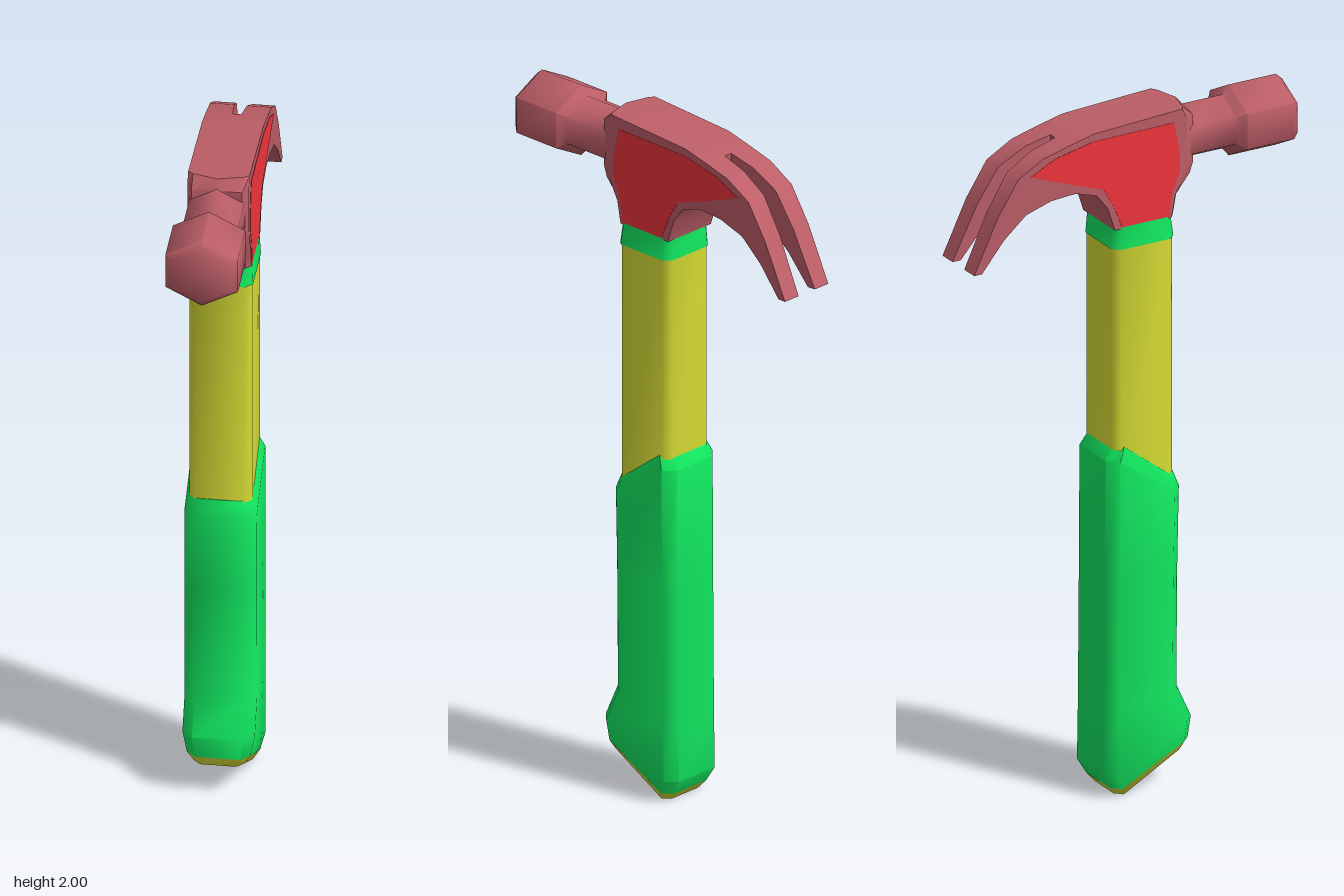
import * as THREE from 'three';
import { toCreasedNormals } from 'three/addons/utils/BufferGeometryUtils.js';

const steel = new THREE.MeshStandardMaterial({ color: 0xbc5e67 });
const red = new THREE.MeshStandardMaterial({ color: 0xf0343c });
const yellow = new THREE.MeshStandardMaterial({ color: 0xd6dc34 });
const green = new THREE.MeshStandardMaterial({ color: 0x12e860 });

function part(name, geometry, material, crease) {
  const mesh = new THREE.Mesh(toCreasedNormals(geometry, crease), material);
  mesh.name = name;
  return mesh;
}

// Side outline of [z, y] points, extruded across x; place(layer, p) sets each vertex.
function sideExtrude(outline, steps, place) {
  const shape = new THREE.Shape(outline.map(([z, y]) => new THREE.Vector2(z, y)));
  const geo = new THREE.ExtrudeGeometry(shape, { depth: 1, steps, bevelEnabled: false });
  geo.rotateY(-Math.PI / 2);
  const pos = geo.attributes.position;
  const p = new THREE.Vector3();
  for (let i = 0; i < pos.count; i++) {
    p.fromBufferAttribute(pos, i);
    place(Math.round(-p.x * steps), p);
    pos.setXYZ(i, p.x, p.y, p.z);
  }
  return geo;
}

// Loft of chamfered rectangles; ring = [frontZ, frontY, backZ, backY, halfWidth, chamfer].
function loft(rings) {
  const verts = [], index = [], n = 8, last = rings.length - 1;
  for (const [zf, yf, zb, yb, w, c] of rings) {
    const corners = [[w - c, zf], [w, zf - c], [w, zb + c], [w - c, zb],
      [c - w, zb], [-w, zb + c], [-w, zf - c], [c - w, zf]];
    for (const [x, z] of corners) {
      const t = THREE.MathUtils.clamp((zf - z - c) / (zf - zb - 2 * c), 0, 1);
      verts.push(x, yf + (yb - yf) * t, z);
    }
  }
  for (let r = 0; r < last; r++) {
    for (let i = 0; i < n; i++) {
      const a = r * n + i, b = r * n + (i + 1) % n;
      index.push(a, b, b + n, a, b + n, a + n);
    }
  }
  for (let i = 1; i < n - 1; i++) {
    index.push(0, i + 1, i);
    index.push(last * n, last * n + i, last * n + i + 1);
  }
  const geo = new THREE.BufferGeometry();
  geo.setAttribute('position', new THREE.Float32BufferAttribute(verts, 3));
  geo.setIndex(index);
  return geo;
}

export function createModel() {
  const group = new THREE.Group();

  // Handle: end cap, grip with sloped top, shaft and collar
  const capTop = [0.177, 0.125, -0.07, 0.025, 0.088, 0.025];
  group.add(part('endCap', loft([[0.165, 0.095, -0.05, 0, 0.07, 0.02], capTop]), yellow, 0.9));
  group.add(part('grip', loft([
    capTop,
    [0.183, 0.19, -0.096, 0.07, 0.1, 0.03],
    [0.137, 0.29, -0.093, 0.25, 0.1, 0.03],
    [0.14, 0.65, -0.09, 0.65, 0.1, 0.03],
    [0.145, 0.88, -0.088, 1.0, 0.1, 0.03],
    [0.127, 0.93, -0.064, 1.038, 0.088, 0.025],
  ]), green, 0.9));
  group.add(part('shaft', loft([
    [0.125, 0.9, -0.068, 0.9, 0.087, 0.02],
    [0.125, 1.64, -0.068, 1.64, 0.087, 0.02],
  ]), yellow, 0.9));
  group.add(part('collar', loft([
    [0.128, 1.625, -0.07, 1.625, 0.089, 0.02],
    [0.12, 1.69, -0.066, 1.69, 0.086, 0.02],
  ]), green, 0.9));

  // Head block, with its front edges cut back at the cheeks
  const bodyOutline = [
    [0.175, 2], [-0.135, 1.985], [-0.215, 1.966], [-0.215, 1.819], [-0.19, 1.82],
    [-0.125, 1.8], [-0.09, 1.755], [-0.067, 1.685], [0.125, 1.685],
    [0.137, 1.75], [0.18, 1.8], [0.19, 1.83], [0.19, 1.97],
  ];
  const layers = [0.085, 0.07, 0, -0.07, -0.085];
  group.add(part('headBlock', sideExtrude(bodyOutline, 4, (k, p) => {
    p.x = layers[k];
    if (p.z < 0.1) return;
    if (Math.abs(p.x) > 0.08) p.z -= p.y > 1.78 ? 0.028 : 0.012;
    else if (p.x !== 0 && p.y > 1.99) p.z -= 0.018;
    else if (p.x === 0 && p.y < 1.7) p.y -= 0.02;
  }), steel, 0.5));

  // Curved claw, two tapering prongs
  const clawOutline = [
    [-0.215, 1.966], [-0.295, 1.945], [-0.375, 1.9], [-0.44, 1.8], [-0.515, 1.645],
    [-0.49, 1.645], [-0.42, 1.73], [-0.35, 1.79], [-0.27, 1.815], [-0.215, 1.819],
  ];
  for (const side of [1, -1]) {
    const geo = sideExtrude(clawOutline, 1, (k, p) => {
      const inner = THREE.MathUtils.mapLinear(p.z, -0.215, -0.49, 0.012, 0.03);
      const outer = (k === 0) === (side === 1);
      p.x = side * (outer ? 0.085 : inner);
    });
    group.add(part(side === 1 ? 'leftClaw' : 'rightClaw', geo, steel, 0.5));
  }

  // Red cheek panels on both sides of the head
  const panelOutline = [
    [0.12, 1.965], [-0.135, 1.963], [-0.255, 1.938], [-0.335, 1.9], [-0.2, 1.848],
    [-0.105, 1.815], [-0.07, 1.755], [-0.045, 1.69], [0.105, 1.69],
    [0.115, 1.76], [0.14, 1.82], [0.14, 1.87],
  ];
  for (const side of [1, -1]) {
    const geo = sideExtrude(panelOutline, 1, (k, p) => {
      p.x = side * 0.0845 + (k === 0 ? 0.0015 : -0.0015);
    });
    group.add(part(side === 1 ? 'leftPanel' : 'rightPanel', geo, red, 0.5));
  }

  // Six-sided neck and striking face
  const profile = [
    [0, 0.15], [0.08, 0.15], [0.08, 0.325], [0.105, 0.345],
    [0.105, 0.495], [0.087, 0.515], [0, 0.515],
  ].map(([r, z]) => new THREE.Vector2(r, z));
  const poll = new THREE.LatheGeometry(profile, 6);
  poll.rotateX(Math.PI / 2);
  poll.scale(1.1, 1, 1);
  poll.translate(0, 1.895, 0);
  group.add(part('strikingHead', poll, steel, 1.1));

  return group;
}
